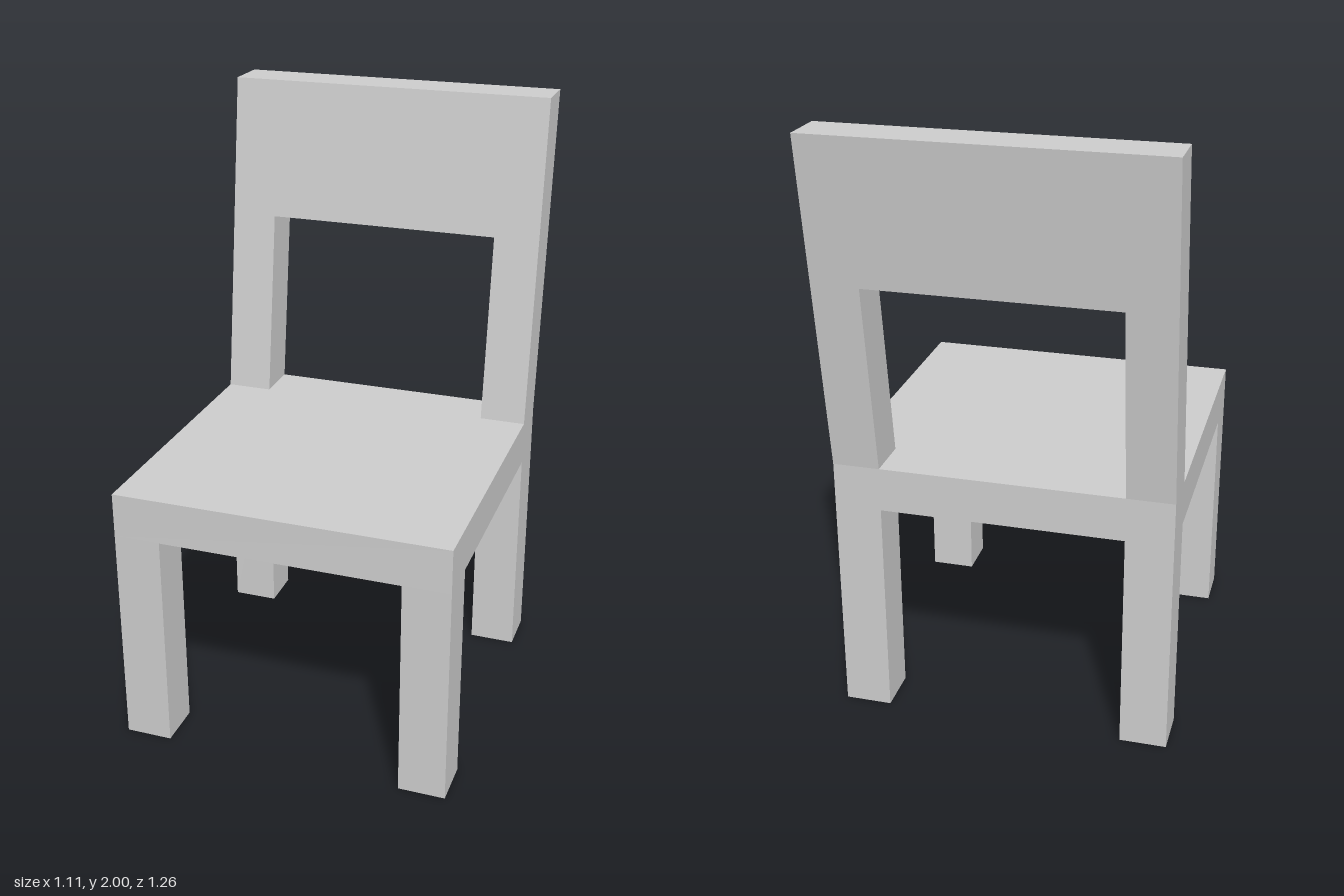
import * as THREE from 'three';

export function createModel() {
  const group = new THREE.Group();
  const material = new THREE.MeshStandardMaterial({ color: 0xcccccc, flatShading: true });

  const halfWidth = 0.555, post = 0.155, inner = halfWidth - post;
  const seatBottom = 0.747, seatTop = 0.895, top = 2;
  const front = 0.629, rear = -0.477, lean = 0.152;

  function add(name, geometry, x = 0, y = 0, z = 0) {
    const mesh = new THREE.Mesh(geometry, material);
    mesh.name = name;
    mesh.position.set(x, y, z);
    group.add(mesh);
  }

  // Seat slab
  add('seat', new THREE.BoxGeometry(halfWidth * 2, seatTop - seatBottom, front - rear),
    0, (seatTop + seatBottom) / 2, (front + rear) / 2);

  // Four square legs
  const legGeometry = new THREE.BoxGeometry(post, seatBottom, post);
  for (const [side, sx] of [['left', 1], ['right', -1]]) {
    const x = sx * (halfWidth - post / 2);
    add(side + 'FrontLeg', legGeometry, x, seatBottom / 2, front - post / 2);
    add(side + 'BackLeg', legGeometry, x, seatBottom / 2, rear + post / 2);
  }

  // Backrest: two posts joined by a wide top panel
  const height = top - seatTop, opening = 1.53 - seatTop;
  const outline = new THREE.Shape([
    [-halfWidth, 0], [-inner, 0], [-inner, opening], [inner, opening],
    [inner, 0], [halfWidth, 0], [halfWidth, height], [-halfWidth, height],
  ].map(([x, y]) => new THREE.Vector2(x, y)));
  const back = new THREE.ExtrudeGeometry(outline, { depth: post, bevelEnabled: false });

  // Slant it rearward while keeping its horizontal faces level
  const p = back.attributes.position;
  for (let i = 0; i < p.count; i++) p.setZ(i, p.getZ(i) - lean * p.getY(i) / height);
  back.computeVertexNormals();
  add('backrest', back, 0, seatTop, rear);

  return group;
}
